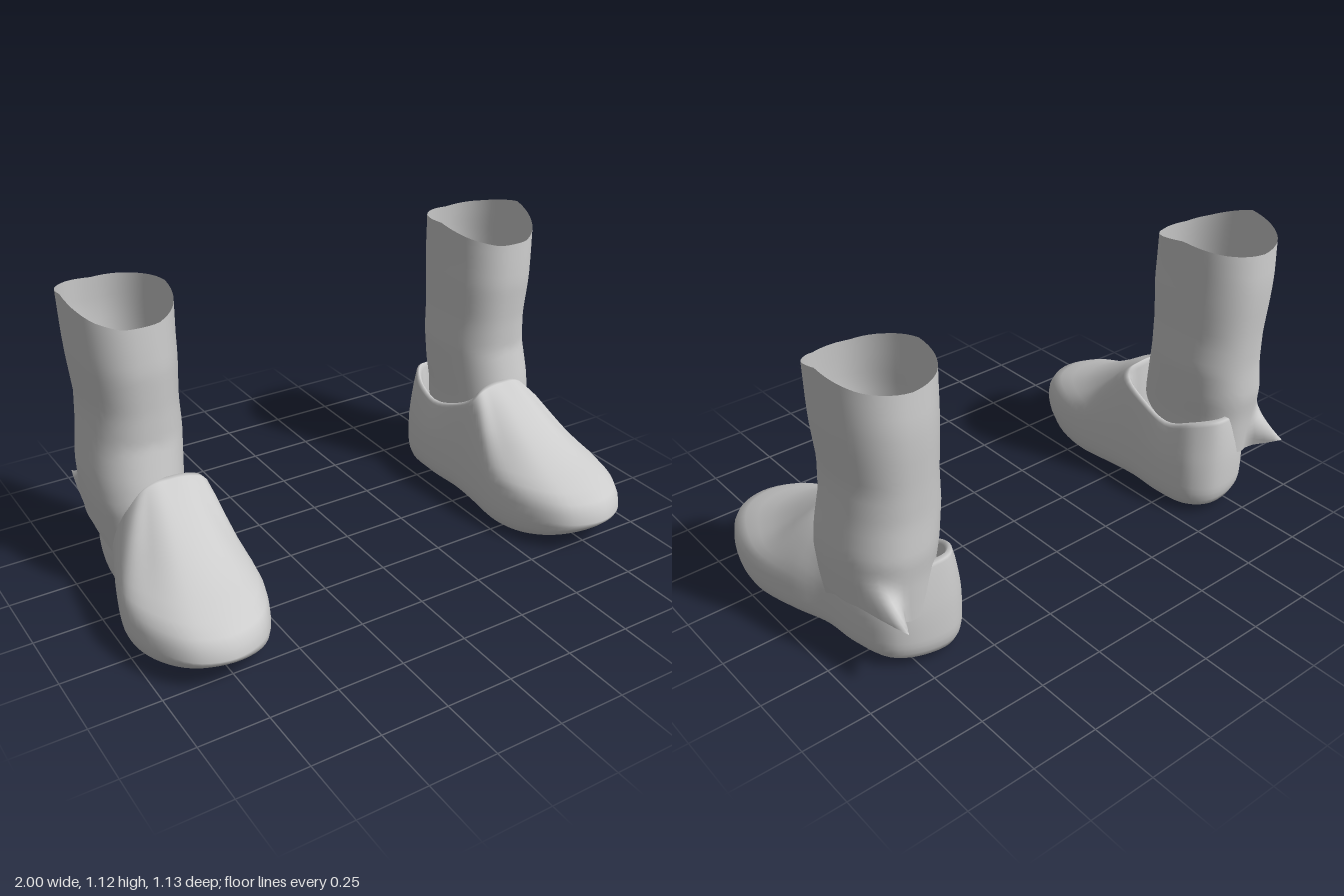
import * as THREE from 'three';

const V = (x, y, z) => new THREE.Vector3(x, y, z);

// piecewise-linear lookup of rows [key, a, b, ...]
function lookup(rows, k) {
  let i = 0;
  while (i < rows.length - 2 && k > rows[i + 1][0]) i++;
  const [p, q] = [rows[i], rows[i + 1]];
  const f = THREE.MathUtils.clamp((k - p[0]) / (q[0] - p[0]), 0, 1);
  return p.slice(1).map((v, j) => v + (q[j + 1] - v) * f);
}

// smooth skin through closed rings of equal length; side = -1 mirrors it
function loft(rings, side, material, name) {
  const n = rings[0].length, pos = [], idx = [];
  rings.forEach(r => r.forEach(p => pos.push(p.x * side, p.y, p.z)));
  for (let r = 0; r < rings.length - 1; r++) for (let i = 0; i < n; i++) {
    const a = r * n + i, b = r * n + (i + 1) % n, c = a + n, d = b + n;
    if (side > 0) idx.push(a, b, d, a, d, c);
    else idx.push(a, d, b, a, c, d);
  }
  const g = new THREE.BufferGeometry();
  g.setAttribute('position', new THREE.Float32BufferAttribute(pos, 3));
  g.setIndex(idx);
  g.computeVertexNormals();
  const m = new THREE.Mesh(g, material);
  m.name = name;
  return m;
}

const smoothLoop = (pts, n) => {
  const c = new THREE.CatmullRomCurve3(pts, true, 'centripetal');
  return Array.from({ length: n }, (_, i) => c.getPoint(i / n));
};

// stations around the shoe from the toe towards the outer side:
// widest outline x, z, then matching collar x, y, z
const stations = [
  [0.77, 0.575, 0.72, 0.475, 0.005],
  [0.89, 0.53, 0.76, 0.475, 0.005],
  [0.97, 0.40, 0.79, 0.468, 0.003],
  [1.00, 0.23, 0.815, 0.455, 0.0],
  [0.955, 0.04, 0.84, 0.43, -0.01],
  [0.905, -0.10, 0.87, 0.36, -0.10],
  [0.89, -0.24, 0.87, 0.31, -0.25],
  [0.84, -0.39, 0.81, 0.33, -0.38],
  [0.75, -0.445, 0.73, 0.39, -0.425],
  [0.62, -0.45, 0.63, 0.405, -0.435],
  [0.545, -0.38, 0.57, 0.38, -0.36],
  [0.53, -0.24, 0.56, 0.335, -0.24],
  [0.545, -0.08, 0.565, 0.37, -0.10],
  [0.535, 0.08, 0.575, 0.43, 0.005],
  [0.52, 0.23, 0.60, 0.458, 0.015],
  [0.555, 0.40, 0.64, 0.47, 0.01],
  [0.64, 0.53, 0.68, 0.475, 0.007],
];
// rise of the upper: height fraction, inward fraction at the toe, inward fraction at the heel
const upper = [
  [0, 0, 0], [0.1, 0.012, -0.01], [0.2, 0.05, -0.01], [0.28, 0.14, 0.01], [0.36, 0.27, 0.04],
  [0.45, 0.41, 0.1], [0.56, 0.54, 0.22], [0.68, 0.67, 0.38], [0.85, 0.83, 0.65], [0.96, 0.95, 0.9], [1, 1, 1],
];

function shoe(side, material) {
  const N = 80;
  const outline = smoothLoop(stations.map(s => V(s[0], 0.12, s[1])), N);
  const collar = smoothLoop(stations.map(s => V(s[2], s[3], s[4])), N);
  const soleY = (x, z) => 0.08 * Math.max(x - 0.58, 0) + 0.55 * Math.max(z - 0.2, 0) ** 2
    + 0.03 * Math.max(0.1 - z, 0);
  // sole, shrunk towards the middle of the foot
  const sole = (k, lift) => outline.map(p => {
    const x = 0.755 + (p.x - 0.755) * k;
    const z = 0.06 + (p.z - 0.06) * (1 - (1 - k) * 0.6);
    const y = soleY(x, z);
    return V(x, y + (0.12 - y) * lift, z);
  });
  const rings = [sole(0.01, 0), sole(0.4, 0), sole(0.75, 0.0), sole(0.87, 0.04), sole(0.94, 0.18),
    sole(0.98, 0.45), sole(0.997, 0.75)];
  // upper, rising from the outline to the collar
  upper.forEach(([h, toe, heel]) => rings.push(outline.map((p, i) => {
    const c = collar[i], t = THREE.MathUtils.smoothstep(p.z, -0.1, 0.4);
    const w = heel + (toe - heel) * t;
    return V(p.x + (c.x - p.x) * w, p.y + (c.y - p.y) * h, p.z + (c.z - p.z) * w);
  })));
  // rounded lip, lining and insole
  [[0.05, 0.008, 0], [0.1, -0.01, 0], [0.14, 0, 0.4], [0.2, 0, 0.85], [0.27, 0, 1], [0.99, 0, 1]]
    .forEach(([k, dy, drop]) => rings.push(collar.map(c =>
      V(c.x + (0.73 - c.x) * k, c.y + dy + (0.1 - c.y) * drop, c.z + (-0.21 - c.z) * k))));
  return loft(rings, side, material, 'shoe');
}

// leg girth: height, inner x, outer x, back z, front z
const girth = [
  [0.17, 0.61, 0.915, -0.44, 0.01], [0.28, 0.605, 0.93, -0.445, 0.015],
  [0.38, 0.60, 0.94, -0.45, 0.015], [0.47, 0.59, 0.94, -0.46, 0.0],
  [0.60, 0.578, 0.925, -0.455, -0.025], [0.72, 0.585, 0.917, -0.46, -0.022],
  [0.87, 0.58, 0.932, -0.47, -0.012], [0.95, 0.58, 0.937, -0.472, -0.015],
  [1.12, 0.575, 0.945, -0.462, -0.025],
];
// hem and top rim heights by turn (0 outer, 0.25 front, 0.5 inner, 0.75 back)
const hem = [[0, 0.26], [0.085, 0.175], [0.13, 0.18], [0.16, 0.28], [0.25, 0.4], [0.5, 0.3],
  [0.65, 0.3], [0.72, 0.23], [0.78, 0.22], [0.857, 0.29], [0.92, 0.275], [1, 0.26]];
const rim = [[0, 1.115], [0.12, 1.06], [0.2, 1.036], [0.3, 1.036], [0.4, 1.06], [0.5, 1.09],
  [0.62, 1.075], [0.75, 1.065], [0.88, 1.085], [1, 1.115]];

function leg(side, material) {
  const N = 56, ROWS = 30, rings = [];
  const soft = v => Math.sign(v) * Math.abs(v) ** 0.9;
  for (let j = 0; j <= ROWS; j++) {
    const ring = [];
    for (let i = 0; i < N; i++) {
      const t = i / N, a = t * Math.PI * 2;
      const low = lookup(hem, t)[0], high = lookup(rim, t)[0];
      const y = low + (high - low) * (j / ROWS) ** 1.5;
      const [x0, x1, z0, z1] = lookup(girth, y);
      const x = (x0 + x1) / 2 + (x1 - x0) / 2 * soft(Math.cos(a));
      let z = (z0 + z1) / 2 + (z1 - z0) / 2 * soft(Math.sin(a));
      // pointed tail of the hem behind the heel
      const near = Math.max(0, 1 - Math.abs(t - 0.857) / 0.065);
      z -= 0.155 * near * Math.min(1, Math.max(0, (0.42 - y) / 0.13) ** 2);
      ring.push(V(x, y, z));
    }
    rings.push(ring);
  }
  return loft(rings.reverse(), side, material, 'leg');
}

export function createModel() {
  const grey = new THREE.MeshStandardMaterial({ color: 0xcccccc, side: THREE.DoubleSide });
  grey.name = 'light grey';
  const model = new THREE.Group();
  model.name = 'pairOfBoots';
  for (const side of [1, -1]) {
    const boot = new THREE.Group();
    boot.name = side > 0 ? 'leftBoot' : 'rightBoot';
    boot.add(shoe(side, grey), leg(side, grey));
    model.add(boot);
  }
  return model;
}
